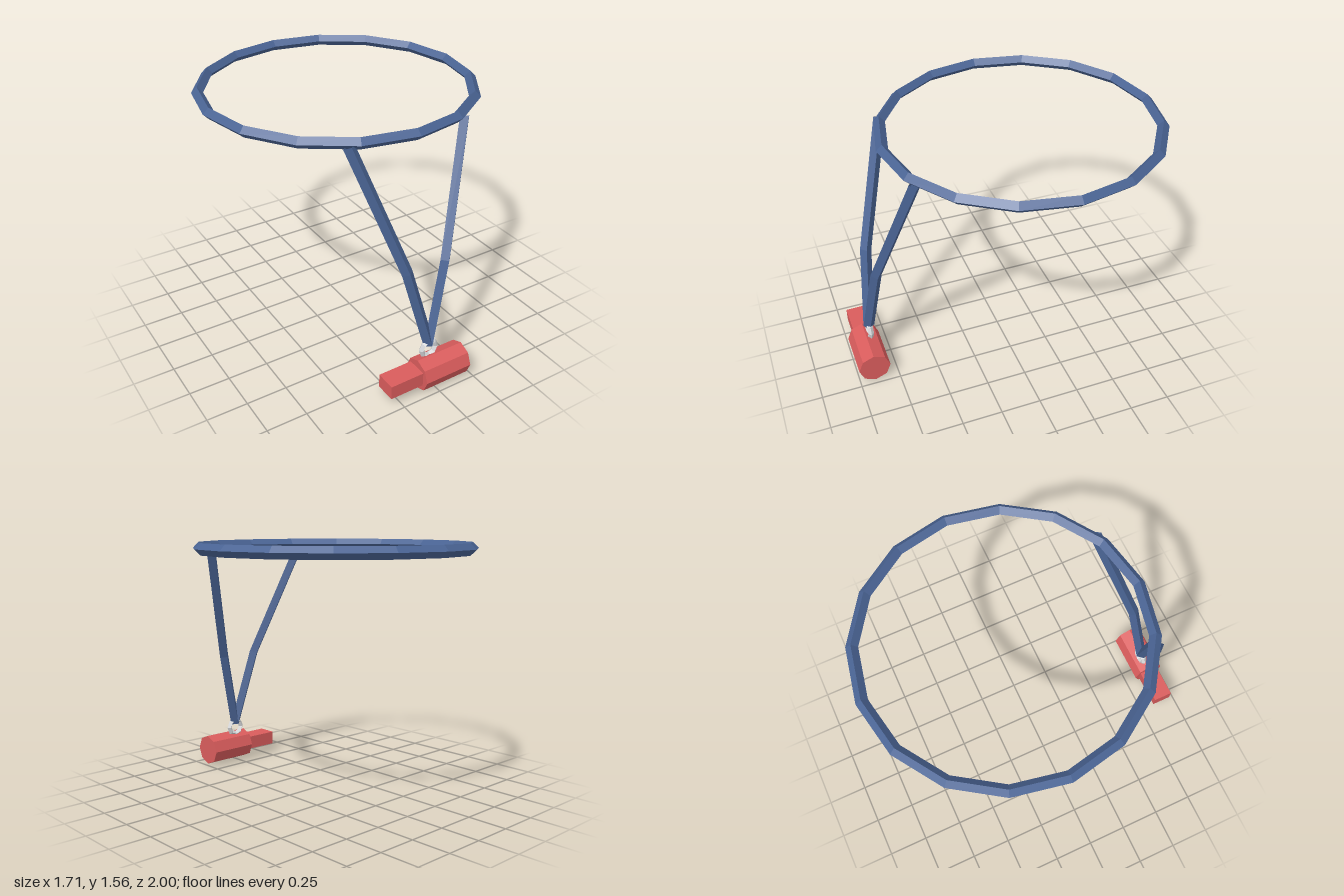
import * as THREE from 'three';

// Two straight runs meeting in one mitred bend
class BentLine extends THREE.Curve {
  constructor(a, b, c) {
    super();
    Object.assign(this, { a, b, c });
  }
  getPoint(t, target = new THREE.Vector3()) {
    return t < 0.5
      ? target.lerpVectors(this.a, this.b, t * 2)
      : target.lerpVectors(this.b, this.c, t * 2 - 1);
  }
  getPointAt(u, target) { return this.getPoint(u, target); }
  getTangentAt(u, target) { return this.getTangent(u, target); }
}

function material(name, color) {
  const m = new THREE.MeshStandardMaterial({ color, flatShading: true, side: THREE.DoubleSide });
  m.name = name;
  return m;
}

export function createModel() {
  const model = new THREE.Group();
  model.name = 'whistleOnLanyard';
  const blue = material('cord blue', 0x4a6494);
  const red = material('whistle red', 0xd95c5c);
  const silver = material('ring silver', 0xd6d8da);

  function add(name, geometry, mat, x = 0, y = 0, z = 0) {
    const mesh = new THREE.Mesh(geometry, mat);
    mesh.name = name;
    mesh.position.set(x, y, z);
    model.add(mesh);
    return mesh;
  }

  // Neck loop: sixteen-sided ring of diamond section
  const loop = new THREE.TorusGeometry(0.82, 0.035, 4, 16).rotateX(Math.PI / 2);
  add('neckLoop', loop, blue, 0, 1.525, -0.145);

  // Two hanging cords that meet at the ring
  for (const [name, s] of [['leftCord', 1], ['rightCord', -1]]) {
    const path = new BentLine(
      new THREE.Vector3(0.375 * s, 1.515, 0.597),
      new THREE.Vector3(0.13 * s, 0.77, 0.81),
      new THREE.Vector3(0, 0.265, 0.87)
    );
    add(name, new THREE.TubeGeometry(path, 2, 0.035, 4, false), blue);
  }

  // Metal ring between cords and whistle
  add('splitRing', new THREE.TorusGeometry(0.05, 0.018, 4, 8), silver, 0, 0.235, 0.87);

  // Whistle: octagonal chamber lying along x, with a flat mouthpiece
  const chamber = new THREE.CylinderGeometry(0.1, 0.1, 0.315, 8).rotateZ(Math.PI / 2);
  add('whistleChamber', chamber, red, 0.0615, 0.1, 0.9);
  add('mouthpiece', new THREE.BoxGeometry(0.225, 0.088, 0.125), red, -0.2035, 0.104, 0.896);

  return model;
}
